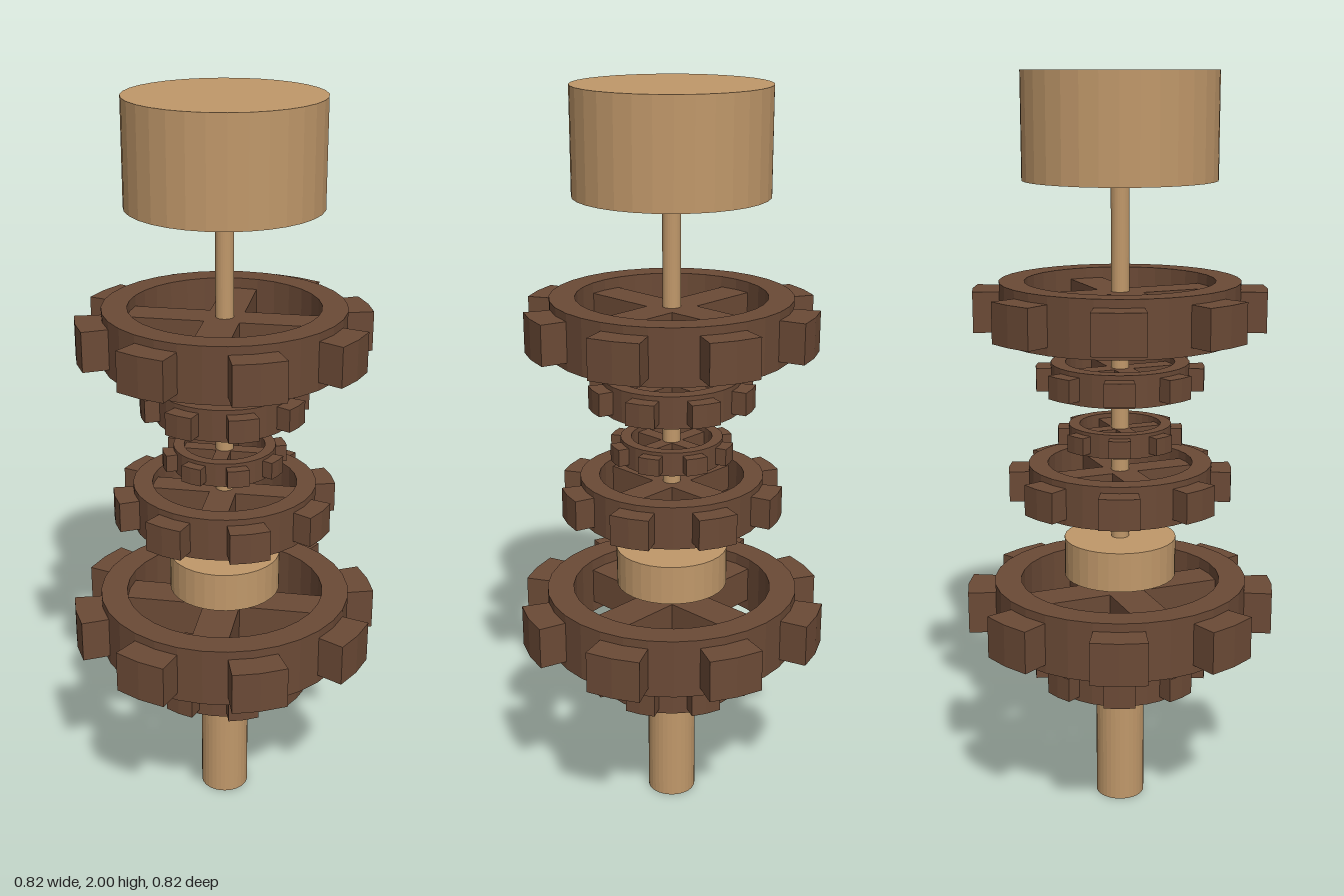
import * as THREE from 'three';

const wood = new THREE.MeshStandardMaterial({ color: 0xc0986a, flatShading: true });
const darkWood = new THREE.MeshStandardMaterial({ color: 0x6b4a36, flatShading: true });
const SIDES = 32;
const polar = (r, a) => new THREE.Vector2(r * Math.cos(a), r * Math.sin(a));

// Upright cylinder between two heights
function post(name, radius, y0, y1) {
  const mesh = new THREE.Mesh(new THREE.CylinderGeometry(radius, radius, y1 - y0, SIDES), wood);
  mesh.position.y = (y0 + y1) / 2;
  mesh.name = name;
  return mesh;
}

// Extrude a plan outline upward, centred on y = 0
function slab(shape, height) {
  return new THREE.ExtrudeGeometry(shape, { depth: height, bevelEnabled: false })
    .translate(0, 0, -height / 2)
    .rotateX(-Math.PI / 2);
}

const ring = (r) => Array.from({ length: SIDES }, (_, i) => polar(r, (i / SIDES) * Math.PI * 2));

// Unit gear parts: rim radius 1, scaled for each gear
const rimShape = new THREE.Shape(ring(1));
rimShape.holes.push(new THREE.Path(ring(0.79)));
const rimGeometry = slab(rimShape, 0.47);

const root = Math.PI / 16, tip = 0.178;
const toothGeometry = slab(new THREE.Shape([
  polar(0.97, -root), polar(1, -root), polar(1.217, -tip), polar(1.217, 0),
  polar(1.217, tip), polar(1, root), polar(0.97, root),
]), 0.335);

const spokeGeometry = new THREE.BoxGeometry(0.8, 0.29, 0.29).translate(0.4, 0, 0);

function gear(name, radius, y) {
  const group = new THREE.Group();
  group.name = name;
  const add = (part, geometry, angle) => {
    const mesh = new THREE.Mesh(geometry, darkWood);
    mesh.name = part;
    mesh.rotation.y = angle;
    group.add(mesh);
  };
  add('rim', rimGeometry, 0);
  for (let i = 0; i < 8; i++) add('tooth', toothGeometry, (i + 0.5) * Math.PI / 4);
  for (let i = 0; i < 4; i++) add('spoke', spokeGeometry, i * Math.PI / 2);
  group.scale.setScalar(radius);
  group.position.y = y;
  return group;
}

export function createModel() {
  const model = new THREE.Group();
  model.name = 'gearShaft';

  // Turned posts along the axis
  model.add(
    post('footPost', 0.067, 0, 0.328),
    post('shaft', 0.024, 0.32, 1.74),
    post('collar', 0.152, 0.66, 0.768),
    post('topDrum', 0.253, 1.728, 2),
  );

  // Gears from bottom to top: radius of rim, centre height
  [
    [0.195, 0.394], [0.345, 0.568], [0.247, 0.922],
    [0.137, 1.055], [0.184, 1.212], [0.317, 1.396],
  ].forEach(([radius, y], i) => model.add(gear(`gear${i + 1}`, radius, y)));

  return model;
}
